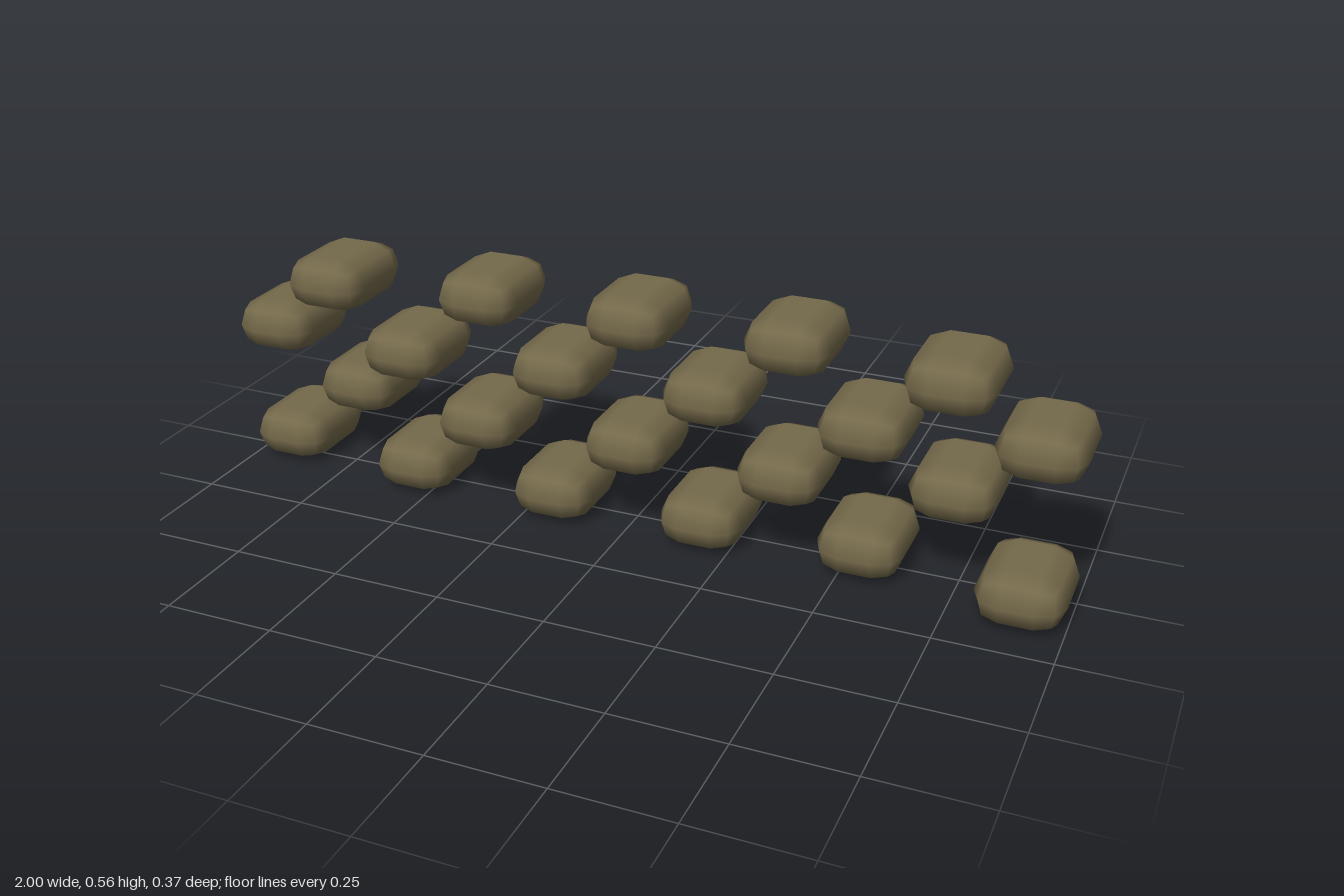
import * as THREE from 'three';
import { RoundedBoxGeometry } from 'three/addons/geometries/RoundedBoxGeometry.js';

export function createModel() {
  const wall = new THREE.Group();
  wall.name = 'sandbagWall';
  const burlap = new THREE.MeshStandardMaterial({ color: 0x74694a });
  burlap.name = 'olive burlap';

  // One plump low-sided bag, shared by every course
  const bag = new RoundedBoxGeometry(0.192, 0.123, 0.25, 1, 0.0585);

  // Each course: front-to-back shift of its bags, from -x to +x
  const courses = [
    [-0.042, -0.003, 0, 0, -0.013, 0.061],
    [-0.062, 0.014, 0, 0.007, -0.061],
    [-0.013, 0.026, -0.007, -0.009, 0.026, -0.022],
    [0.036, -0.01, -0.008, -0.013, 0.049],
  ];
  const spacing = 0.361;

  courses.forEach((shifts, row) => {
    const course = new THREE.Group();
    course.name = `course${row + 1}`;
    course.position.y = 0.0635 + row * 0.1467;
    shifts.forEach((z, i) => {
      const mesh = new THREE.Mesh(bag, burlap);
      mesh.name = `sandbag${i + 1}`;
      mesh.position.set((i - (shifts.length - 1) / 2) * spacing, 0, z);
      course.add(mesh);
    });
    wall.add(course);
  });
  return wall;
}
